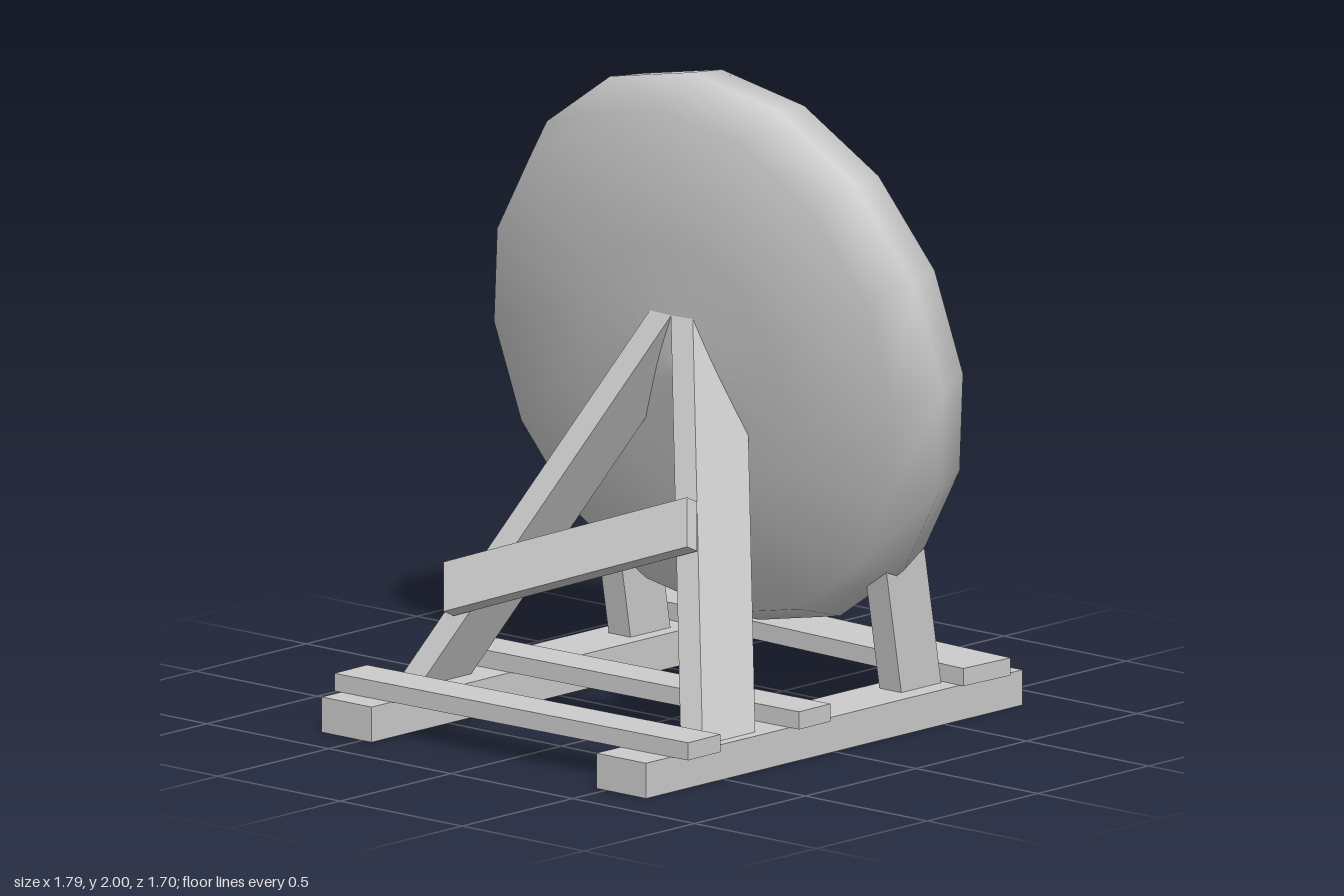
import * as THREE from 'three';

const material = new THREE.MeshStandardMaterial({ color: 0xcccccc });

export function createModel() {
  const model = new THREE.Group();
  model.name = 'discOnStand';

  function add(name, geometry, position = [0, 0, 0], rotation = [0, 0, 0]) {
    const mesh = new THREE.Mesh(geometry, material);
    mesh.name = name;
    mesh.position.set(...position);
    mesh.rotation.set(...rotation);
    model.add(mesh);
    return mesh;
  }

  // Upright beam with level ends, sheared from a bottom centre to a top centre
  function slantedBeam(width, depth, bottom, top) {
    const g = new THREE.BoxGeometry(width, top[1] - bottom[1], depth);
    const pos = g.attributes.position;
    for (let i = 0; i < pos.count; i++) {
      const end = pos.getY(i) > 0 ? top : bottom;
      pos.setXYZ(i, pos.getX(i) + end[0], end[1], pos.getZ(i) + end[2]);
    }
    g.computeVertexNormals();
    return g;
  }

  // Thick round disc: domed front, rounded rim, flat back, leaning forward
  const profile = [
    [0, -0.257], [0.58, -0.257], [0.706, -0.255], [0.854, -0.136],
    [0.893, 0], [0.818, 0.145], [0.4, 0.2], [0, 0.23],
  ].map(([r, y]) => new THREE.Vector2(r, y));
  add('disc', new THREE.LatheGeometry(profile, 16), [0, 1.12, -0.24],
    [THREE.MathUtils.degToRad(100), 0, 0]);

  // Mirrored base rails, A-frame legs and rear posts
  for (const [side, s] of [['left', 1], ['right', -1]]) {
    add(side + 'Rail', new THREE.BoxGeometry(0.204, 0.11, 1.7), [s * 0.563, 0.055, 0]);
    add(side + 'FrontLeg', slantedBeam(0.09, 0.238,
      [s * 0.582, 0.11, 0.434], [s * 0.042, 1.262, -0.117]));
    add(side + 'RearPost', slantedBeam(0.09, 0.18,
      [s * 0.555, 0.11, -0.465], [s * 0.555, 0.54, -0.39]));
  }

  // Slightly crooked slats across the rails: length, width, x, z, turn
  const slats = [
    ['frontSlat', 1.425, 0.15, 0.02, 0.675, 0.02],
    ['middleSlat', 1.425, 0.145, -0.01, 0.141, 0.018],
    ['rearSlat', 1.422, 0.203, -0.025, -0.702, -0.048],
  ];
  for (const [name, length, width, x, z, turn] of slats) {
    add(name, new THREE.BoxGeometry(length, 0.055, width), [x, 0.1375, z], [0, turn, 0]);
  }

  // Crooked board lying on the front of the A-frame
  add('crossBrace', new THREE.BoxGeometry(0.93, 0.16, 0.05),
    [-0.078, 0.557, 0.374], [-0.446, 0, 0.379]);

  return model;
}
